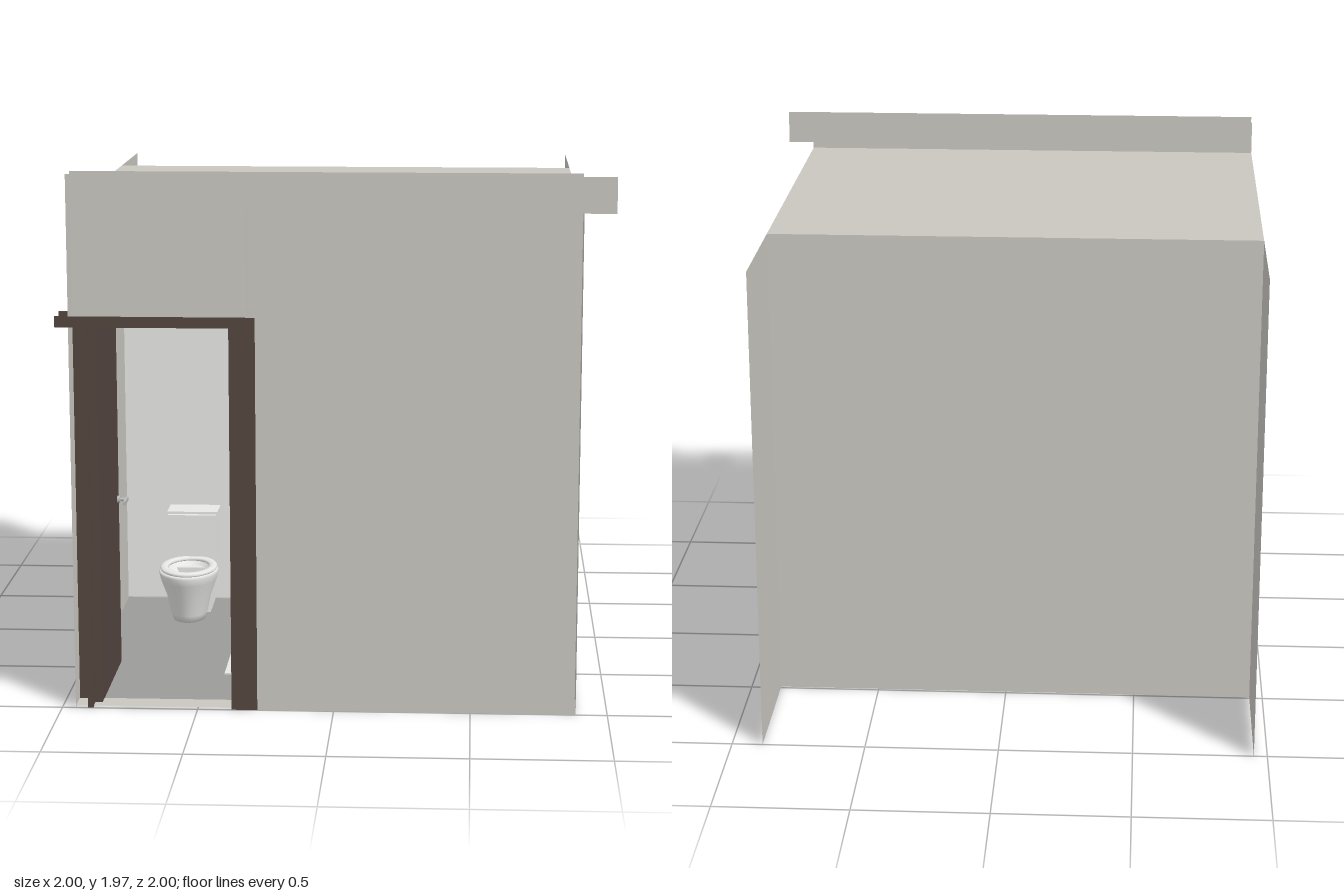
import * as THREE from 'three';

export function createModel() {
  const model = new THREE.Group();
  model.name = 'bathroom';

  const mat = (name, color, side = THREE.FrontSide) => {
    const m = new THREE.MeshStandardMaterial({ color, side });
    m.name = name;
    return m;
  };
  const plaster = mat('plaster', 0xc9c6c0, THREE.DoubleSide);
  const wood = mat('darkWood', 0x54453f, THREE.DoubleSide);
  const white = mat('whiteCeramic', 0xf2f2f0, THREE.DoubleSide);
  const tile = mat('floorTile', 0x9a9a98, THREE.DoubleSide);
  const metal = mat('metal', 0xb8b8b8);

  const add = (parent, name, geometry, material) => {
    const mesh = new THREE.Mesh(geometry, material);
    mesh.name = name;
    parent.add(mesh);
    return mesh;
  };
  // Box given by its two corners
  const box = (parent, name, material, [x0, y0, z0], [x1, y1, z1]) => {
    const m = add(parent, name, new THREE.BoxGeometry(x1 - x0, y1 - y0, z1 - z0), material);
    m.position.set((x0 + x1) / 2, (y0 + y1) / 2, (z0 + z1) / 2);
    return m;
  };
  // Thin upright panel facing the front
  const panel = (parent, name, material, x0, x1, y0, y1, z) => {
    const m = add(parent, name, new THREE.PlaneGeometry(x1 - x0, y1 - y0), material);
    m.position.set((x0 + x1) / 2, (y0 + y1) / 2, z);
    return m;
  };
  // Thin upright panel facing sideways
  const sidePanel = (parent, name, material, x, y0, y1, z0, z1) => {
    const m = add(parent, name, new THREE.PlaneGeometry(z1 - z0, y1 - y0), material);
    m.rotation.y = Math.PI / 2;
    m.position.set(x, (y0 + y1) / 2, (z0 + z1) / 2);
    return m;
  };
  // Thin level panel
  const slab = (parent, name, material, x0, x1, y, z0, z1) => {
    const m = add(parent, name, new THREE.PlaneGeometry(x1 - x0, z1 - z0), material);
    m.rotation.x = -Math.PI / 2;
    m.position.set((x0 + x1) / 2, y, (z0 + z1) / 2);
    return m;
  };

  const L = -0.95, R = 0.885, H = 1.84, BACK = -0.49, FRONT = 0.9;

  // Walls, ceiling and floor
  const shell = new THREE.Group();
  shell.name = 'shell';
  model.add(shell);
  sidePanel(shell, 'rightWall', plaster, R, 0, H, -1, 1);
  sidePanel(shell, 'leftWall', plaster, L, 0, H, -1, 1);
  panel(shell, 'backWall', plaster, L, R, 0, H, BACK);
  panel(shell, 'backWallLining', white, L, R, 0.01, H - 0.01, BACK + 0.008);
  slab(shell, 'ceiling', plaster, L, R, H, BACK, FRONT);
  slab(shell, 'floor', tile, L, R, 0.004, BACK, FRONT);
  slab(shell, 'threshold', plaster, L, -0.31, 0.006, FRONT, 0.99);

  // Front wall with its door opening
  const front = new THREE.Shape();
  front.moveTo(L, H);
  [[R, H], [R, 0], [-0.33, 0], [-0.33, 1.43], [-0.92, 1.43], [-0.92, 0], [L, 0]]
    .forEach(([x, y]) => front.lineTo(x, y));
  add(shell, 'frontWall', new THREE.ShapeGeometry(front), plaster).position.z = FRONT;
  sidePanel(shell, 'entranceFin', plaster, -0.31, 0, H, FRONT, 1);
  panel(shell, 'plinth', plaster, -0.31, R, 0, 0.06, 0.999);
  panel(shell, 'frontFascia', plaster, L, 1, H, 1.97, 1);
  panel(shell, 'rearFascia', plaster, L, R, H, 1.97, FRONT);

  // Door frame
  const frame = new THREE.Group();
  frame.name = 'doorFrame';
  model.add(frame);
  panel(frame, 'frontHead', wood, -1, -0.28, 1.42, 1.46, 1);
  box(frame, 'rearHead', wood, [-1, 1.42, 0.888], [-0.28, 1.46, 0.897]);
  box(frame, 'leftJamb', wood, [-0.905, 0, 0.91], [-0.885, 1.42, 0.998]);
  panel(frame, 'leftTrim', wood, -0.949, -0.905, 0, 1.42, 0.903);
  box(frame, 'rightJamb', wood, [-0.375, 0, 0.91], [-0.315, 1.42, 0.998]);
  panel(frame, 'rightTrim', wood, -0.315, -0.28, 0, 1.42, 1);
  box(frame, 'rearRightTrim', wood, [-0.375, 0.005, 0.888], [-0.28, 1.42, 0.897]);

  // Door, standing open into the room
  const door = new THREE.Group();
  door.name = 'door';
  model.add(door);
  box(door, 'doorLeaf', wood, [-0.885, 0.003, 0.425], [-0.858, 1.418, 0.95]);
  const rose = add(door, 'handleRose', new THREE.CylinderGeometry(0.014, 0.014, 0.01, 16), metal);
  rose.rotation.z = Math.PI / 2;
  rose.position.set(-0.853, 0.66, 0.46);
  const stem = add(door, 'handleStem', new THREE.CylinderGeometry(0.006, 0.006, 0.03, 12), metal);
  stem.rotation.z = Math.PI / 2;
  stem.position.set(-0.835, 0.66, 0.46);
  box(door, 'handleLever', metal, [-0.828, 0.652, 0.45], [-0.818, 0.668, 0.53]);

  // Toilet: oval bowl on a narrow foot, seat and cistern
  const toilet = new THREE.Group();
  toilet.name = 'toilet';
  toilet.position.set(-0.66, 0.004, -0.2);
  model.add(toilet);
  const profile = [[0, 0], [0.065, 0], [0.075, 0.03], [0.09, 0.1], [0.115, 0.17], [0.122, 0.2],
    [0.118, 0.21], [0.09, 0.21], [0.07, 0.14], [0, 0.11]].map(p => new THREE.Vector2(...p));
  add(toilet, 'bowl', new THREE.LatheGeometry(profile, 32), white).scale.z = 1.35;
  const seat = add(toilet, 'seat', new THREE.TorusGeometry(0.1, 0.018, 8, 32), white);
  seat.rotation.x = Math.PI / 2;
  seat.scale.set(1, 1.35, 0.5);
  seat.position.y = 0.216;
  box(toilet, 'lid', white, [-0.1, 0.22, -0.15], [0.1, 0.4, -0.13]);
  box(toilet, 'base', white, [-0.08, 0, -0.27], [0.08, 0.19, -0.08]);
  box(toilet, 'cistern', white, [-0.1, 0.19, -0.275], [0.1, 0.39, -0.155]);
  box(toilet, 'cisternLid', white, [-0.105, 0.39, -0.278], [0.105, 0.41, -0.15]);

  // Vanity unit
  const vanity = new THREE.Group();
  vanity.name = 'vanity';
  model.add(vanity);
  box(vanity, 'cabinet', wood, [-0.395, 0.2, -0.48], [0.2, 0.55, -0.12]);
  box(vanity, 'countertop', white, [-0.405, 0.55, -0.48], [0.21, 0.575, -0.11]);

  // Bath mat and shower kerb
  box(model, 'bathMat', white, [-0.44, 0, 0.27], [0.03, 0.01, 0.58]);
  box(model, 'showerKerb', white, [0.41, 0.003, 0.29], [0.43, 0.05, 0.84]);

  return model;
}
